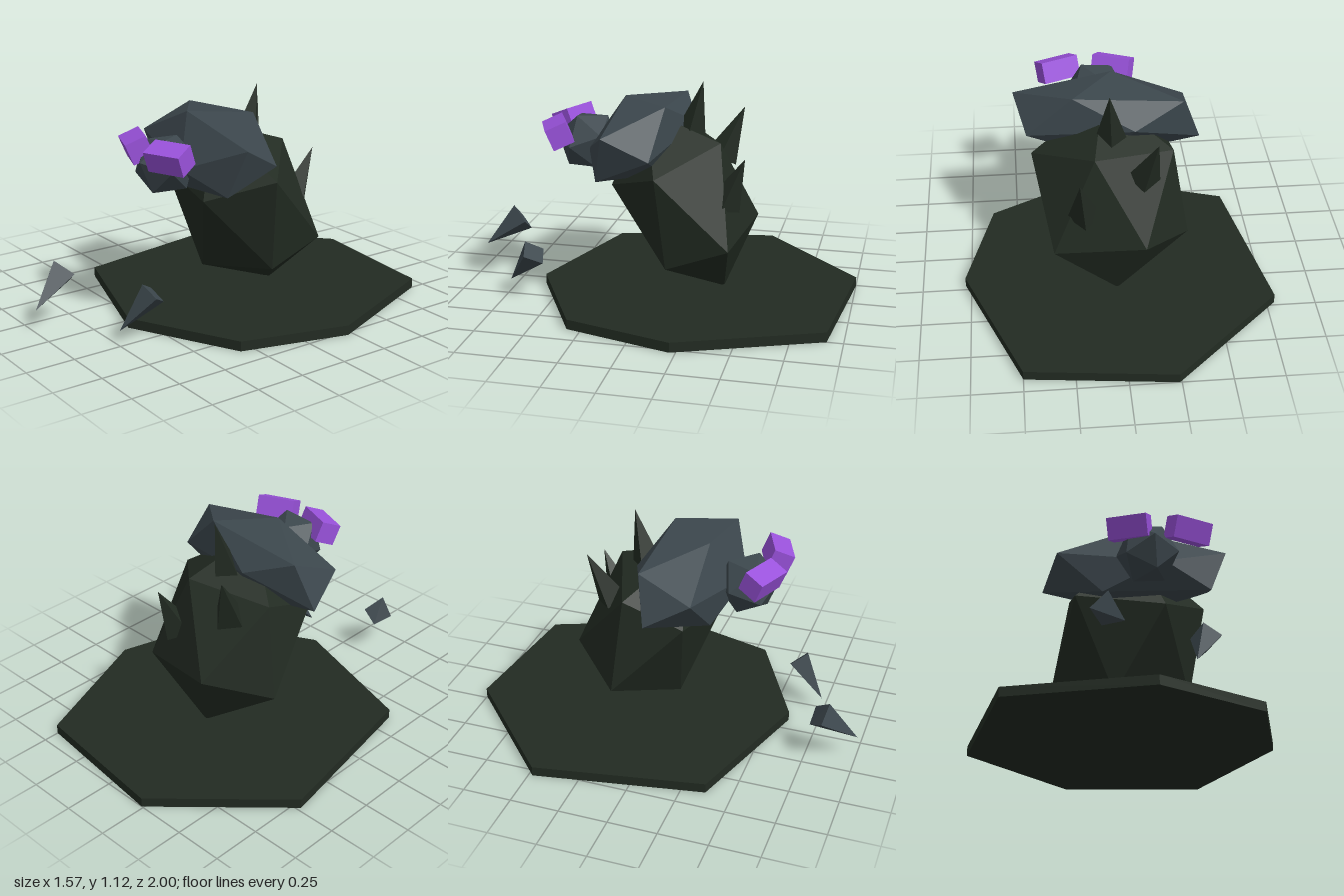
import * as THREE from 'three';
import { ConvexGeometry } from 'three/addons/geometries/ConvexGeometry.js';

const paint = (name, color) => {
  const m = new THREE.MeshStandardMaterial({ color, flatShading: true });
  m.name = name;
  return m;
};

const vectors = (points) => points.map((p) => new THREE.Vector3(...p));

// Squashed icosahedron: six corners, each repeated on the opposite side of the centre
function faceted(center, corners) {
  const c = new THREE.Vector3(...center);
  const near = vectors(corners);
  const far = near.map((p) => c.clone().multiplyScalar(2).sub(p));
  return new ConvexGeometry([...near, ...far]);
}

export function createModel() {
  const model = new THREE.Group();
  const darkGreen = paint('dark green', 0x222b22);
  const slate = paint('slate', 0x3c474d);
  const purple = paint('purple', 0x9a52dc);

  const add = (name, geometry, material) => {
    const mesh = new THREE.Mesh(geometry, material);
    mesh.name = name;
    model.add(mesh);
    return mesh;
  };

  // Seven-sided base slab, outline given as x and z
  const outline = [[-0.24, -1], [0.5, -0.92], [0.78, -0.22], [0.63, 0.32],
    [0.08, 0.6], [-0.64, 0.37], [-0.79, -0.48]];
  const slab = new THREE.Shape(outline.map(([x, z]) => new THREE.Vector2(x, -z)));
  add('base', new THREE.ExtrudeGeometry(slab, { depth: 0.05, bevelEnabled: false })
    .rotateX(-Math.PI / 2), darkGreen);

  // Body, leaning forward from its lowest corner
  add('body', faceted([0.02, 0.5, -0.14], [
    [0, 0.04, -0.34], [-0.07, 0.17, 0.05], [-0.37, 0.29, -0.22],
    [0.33, 0.23, -0.1], [0.17, 0.6, 0.21], [-0.28, 0.66, 0.13],
  ]), darkGreen);

  // Wide head
  add('head', faceted([0.025, 0.83, 0.08], [
    [-0.44, 0.74, -0.02], [-0.35, 0.98, -0.07], [-0.38, 0.86, 0.2],
    [-0.01, 1.02, 0.18], [0.2, 1.02, -0.07], [-0.1, 0.88, -0.17],
  ]), slate);

  // Snout
  const snout = add('snout', new THREE.IcosahedronGeometry(0.16, 0), slate);
  snout.position.set(0.06, 0.795, 0.36);
  snout.rotation.set(0.35, 0.2, 0.1);

  // Eye blocks, tilted down and turned outward
  for (const side of [-1, 1]) {
    const eye = add(side < 0 ? 'rightEye' : 'leftEye', new THREE.BoxGeometry(0.2, 0.11, 0.11), purple);
    eye.position.set(0.105 + side * 0.145, 0.88, 0.46);
    eye.rotation.set(0.4, side * 0.38, 0, 'YXZ');
  }

  // Back spikes, from base centre to tip
  const up = new THREE.Vector3(0, 1, 0);
  const spikes = [
    [[0.02, 0.82, -0.155], [0.03, 1.12, -0.225]],
    [[-0.13, 0.69, -0.29], [-0.19, 0.95, -0.4]],
    [[0.165, 0.53, -0.36], [0.19, 0.78, -0.465]],
  ];
  for (const ends of spikes) {
    const [foot, tip] = vectors(ends);
    const axis = tip.clone().sub(foot);
    const spike = add('backSpike', new THREE.ConeGeometry(0.085, axis.length(), 4), darkGreen);
    spike.position.copy(foot).add(tip).multiplyScalar(0.5);
    spike.quaternion.setFromUnitVectors(up, axis.normalize());
  }

  // Floating claws: four base corners and a tip
  add('rightClaw', new ConvexGeometry(vectors([
    [-0.26, 0.25, 0.84], [-0.18, 0.33, 0.86], [-0.12, 0.26, 0.78], [-0.2, 0.2, 0.77], [-0.12, 0.12, 1],
  ])), slate);
  add('leftClaw', new ConvexGeometry(vectors([
    [0.28, 0.3, 0.64], [0.37, 0.25, 0.62], [0.31, 0.2, 0.54], [0.23, 0.25, 0.56], [0.23, 0.07, 0.74],
  ])), slate);

  return model;
}
